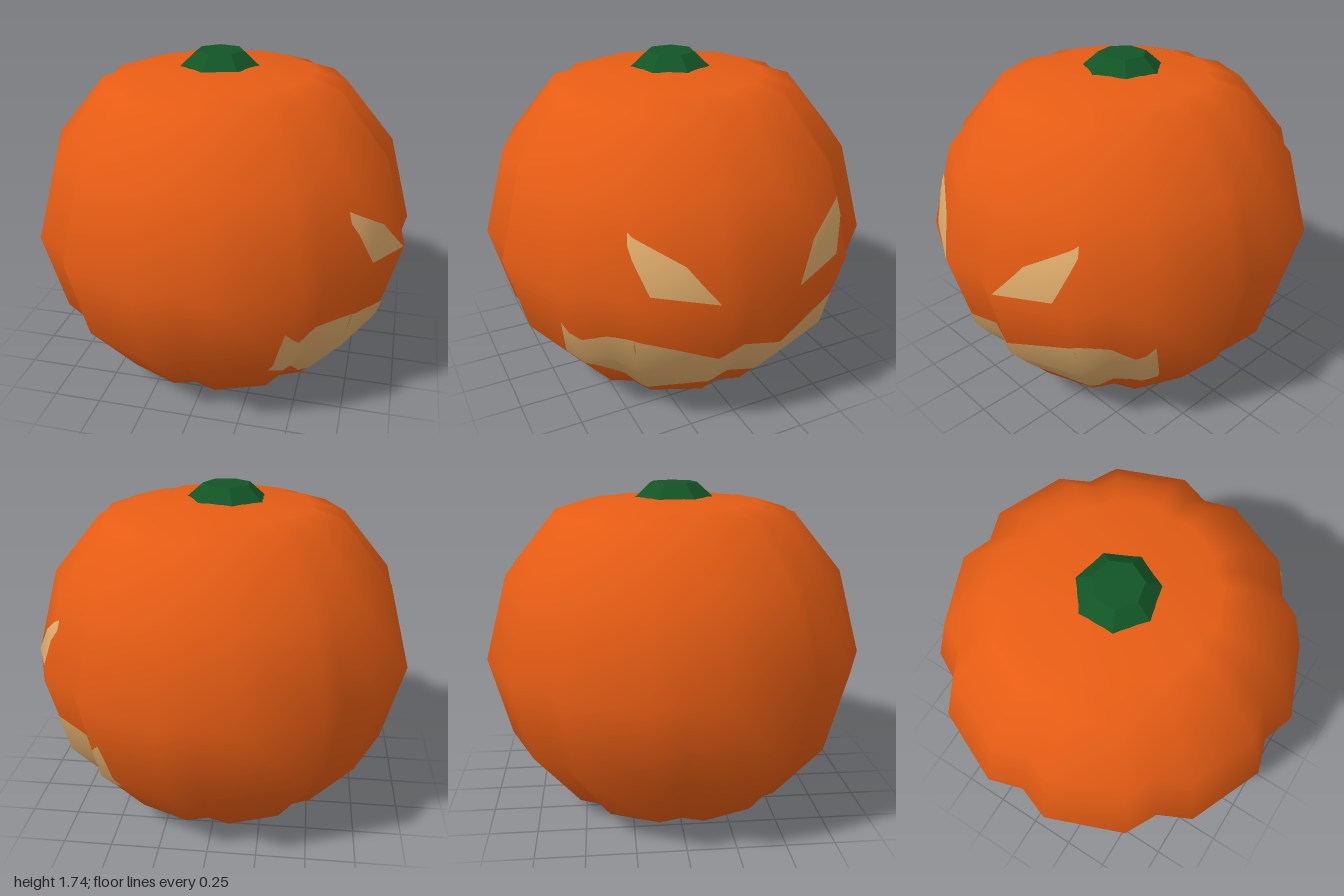
import * as THREE from 'three';

const DEG = Math.PI / 180;
const TURN = -1.2;                       // turn of the grooves about y, degrees
const LOBE = [[0, 0.935], [10.2, 1.01], [34.8, 1.01], [45, 0.935]]; // angle, radius
const PROFILE = [[0, 0], [0.14, 0.005], [0.47, 0.04], [0.63, 0.09], [0.89, 0.41], [1, 0.835],
  [0.88, 1.28], [0.63, 1.585], [0.47, 1.635], [0.14, 1.67], [0, 1.67]];

// Radius of the ring at height y
function ringScale(y) {
  const i = PROFILE.findIndex((p, k) => k > 0 && y <= p[1]);
  const [r0, y0] = PROFILE[i - 1], [r1, y1] = PROFILE[i];
  return r0 + (r1 - r0) * (y - y0) / (y1 - y0);
}

// Radius of the lobed outline, at an angle in degrees from a groove
function lobeRadius(angle) {
  const a = ((angle % 45) + 45) % 45;
  const i = a < LOBE[1][0] ? 0 : a < LOBE[2][0] ? 1 : 2;
  const [a0, r0] = LOBE[i], [a1, r1] = LOBE[i + 1];
  // straight chord between the two corners
  return r0 * r1 * Math.sin((a1 - a0) * DEG) /
    (r0 * Math.sin((a - a0) * DEG) + r1 * Math.sin((a1 - a) * DEG));
}

// Ribbed shell: a lathe whose columns move onto the lobe corners
function bodyGeometry() {
  const geo = new THREE.LatheGeometry(PROFILE.map(p => new THREE.Vector2(p[0], p[1])), 24);
  const pos = geo.attributes.position, nor = geo.attributes.normal;
  for (let k = 0; k < pos.count; k++) {
    const col = Math.floor(k / PROFILE.length);
    const [a, scale] = LOBE[col % 3];
    const phi = (TURN + 45 * Math.floor(col / 3) + a) * DEG;
    const r = PROFILE[k % PROFILE.length][0] * scale;
    const n = Math.hypot(nor.getX(k), nor.getZ(k));
    pos.setXYZ(k, r * Math.sin(phi), pos.getY(k), r * Math.cos(phi));
    nor.setXYZ(k, n * Math.sin(phi), nor.getY(k), n * Math.cos(phi));
  }
  return geo;
}

// Point [angle, height] at fraction u along a polyline
function along(points, u) {
  const f = u * (points.length - 1);
  const i = Math.min(Math.floor(f), points.length - 2), t = f - i;
  return [0, 1].map(c => points[i][c] + (points[i + 1][c] - points[i][c]) * t);
}

// Patch laid on the shell between an upper and a lower edge
function patchGeometry(upper, lower) {
  const geo = new THREE.PlaneGeometry(1, 1, (upper.length - 1) * 12, 20);
  const { position: pos, normal: nor, uv } = geo.attributes;
  const n = new THREE.Vector3();
  for (let k = 0; k < pos.count; k++) {
    const a = along(upper, uv.getX(k)), b = along(lower, uv.getX(k)), v = uv.getY(k);
    const angle = b[0] + (a[0] - b[0]) * v, y = b[1] + (a[1] - b[1]) * v;
    const r = ringScale(y) * lobeRadius(angle) + 0.006;
    const theta = (angle - TURN) * DEG;
    const x = r * Math.cos(theta), z = r * Math.sin(theta);
    pos.setXYZ(k, x, y, z);
    n.set(x, (y - 0.835) * 1.2, z).normalize();
    nor.setXYZ(k, n.x, n.y, n.z);
  }
  return geo;
}

const mirror = points => points.map(([a, y]) => [-a, y]).reverse();

export function createModel() {
  const group = new THREE.Group();
  const skin = new THREE.MeshStandardMaterial({ color: 0xe65c14 });
  const flesh = new THREE.MeshStandardMaterial({ color: 0xe0ad6c });
  const green = new THREE.MeshStandardMaterial({ color: 0x125526, flatShading: true });
  const add = (name, geo, mat) => {
    const mesh = new THREE.Mesh(geo, mat);
    mesh.name = name;
    group.add(mesh);
    return mesh;
  };

  add('pumpkinBody', bodyGeometry(), skin);

  // Short seven-sided stem
  const stem = add('stem', new THREE.CylinderGeometry(0.125, 0.21, 0.075, 7), green);
  stem.position.set(-0.02, 1.6975, 0);
  stem.rotation.y = Math.PI / 2;

  // Slanted eyes on the +x side
  const eyeTop = [[36.5, 1.155], [20.3, 1.01], [11.5, 0.84]];
  const eyeBottom = [[36.4, 1.1], [29.8, 0.88], [11.5, 0.84]];
  add('eyeA', patchGeometry(eyeTop, eyeBottom), flesh);
  add('eyeB', patchGeometry(mirror(eyeTop), mirror(eyeBottom)), flesh);

  // Wide grin wrapping round the face
  const lipTop = [[58, 0.62], [52.4, 0.53], [45, 0.56], [35.5, 0.62], [10.5, 0.49]];
  const lipBottom = [[60.7, 0.35], [53, 0.32], [46, 0.23], [38.7, 0.14], [13, 0.225]];
  add('mouth', patchGeometry([...lipTop, ...mirror(lipTop)], [...lipBottom, ...mirror(lipBottom)]), flesh);

  return group;
}
